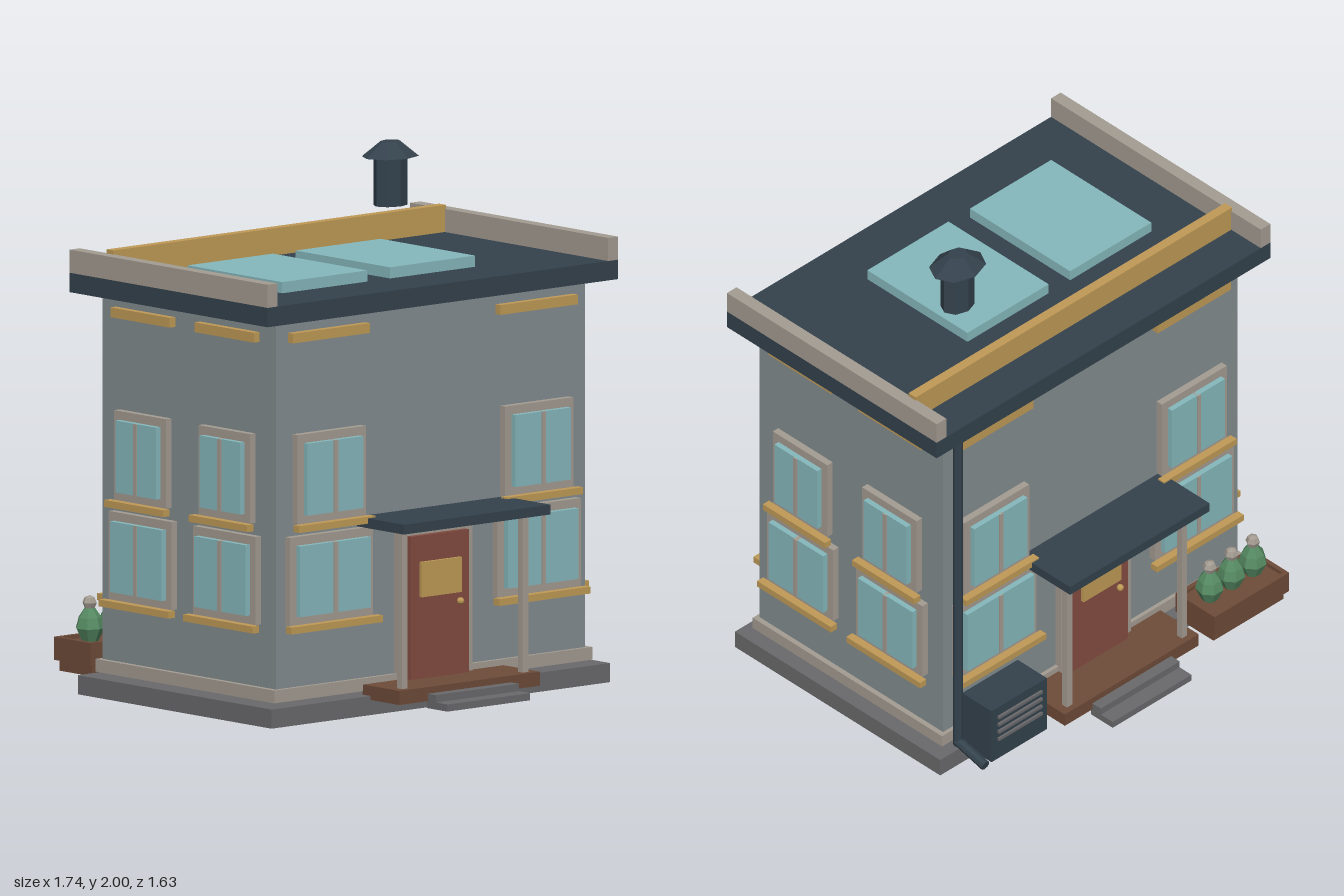
import * as THREE from 'three';

const mat = (name, color) => {
  const m = new THREE.MeshStandardMaterial({ color, flatShading: true });
  m.name = name;
  return m;
};

export function createModel() {
  const M = {
    wall: mat('wall grey', 0x838d90),
    roof: mat('dark slate', 0x34424d),
    glass: mat('glass teal', 0x86b9bd),
    gold: mat('ochre', 0xc09a56),
    trim: mat('trim stone', 0xa49c92),
    door: mat('door red', 0x844c41),
    wood: mat('wood brown', 0x6e4b38),
    stone: mat('stone grey', 0x6a6a6c),
    leaf: mat('leaf green', 0x558a62),
  };
  const house = new THREE.Group();
  house.name = 'house';

  const add = (parent, name, geo, material) => {
    const mesh = new THREE.Mesh(geo, material);
    mesh.name = name;
    parent.add(mesh);
    return mesh;
  };
  // Box given by its limits on each axis
  const box = (parent, name, material, [x0, x1], [y0, y1], [z0, z1]) => {
    const mesh = add(parent, name, new THREE.BoxGeometry(x1 - x0, y1 - y0, z1 - z0), material);
    mesh.position.set((x0 + x1) / 2, (y0 + y1) / 2, (z0 + z1) / 2);
    return mesh;
  };
  const group = (name, parent = house) => {
    const g = new THREE.Group();
    g.name = name;
    parent.add(g);
    return g;
  };
  const mid = (c, half) => [c - half, c + half];

  // Main body
  box(house, 'foundation', M.stone, [-0.838, 0.838], [0, 0.072], [-0.545, 0.545]);
  box(house, 'plinth', M.trim, [-0.787, 0.787], [0.085, 0.133], [-0.503, 0.503]);
  box(house, 'walls', M.wall, [-0.766, 0.766], [0.085, 1.52], [-0.487, 0.487]);

  // Roof
  box(house, 'roofSlab', M.roof, [-0.868, 0.868], [1.515, 1.588], [-0.557, 0.557]);
  for (const s of [-1, 1]) {
    box(house, 'parapet', M.trim, mid(s * 0.843, 0.025), [1.588, 1.675], [-0.557, 0.557]);
  }
  box(house, 'roofRail', M.gold, [-0.823, 0.823], [1.588, 1.69], [-0.4, -0.362]);
  for (const x of [-0.387, 0.147]) {
    box(house, 'skylight', M.glass, mid(x, 0.211), [1.588, 1.63], [-0.2, 0.332]);
  }

  // Chimney with a conical cap
  const chimney = group('chimney');
  chimney.position.set(0.38, 0, -0.17);
  chimney.scale.z = 0.81;
  add(chimney, 'chimneyPipe', new THREE.CylinderGeometry(0.07, 0.07, 0.185, 8), M.roof).position.y = 1.852;
  add(chimney, 'chimneyCap', new THREE.CylinderGeometry(0.04, 0.117, 0.057, 8), M.roof).position.y = 1.9715;

  // Window facing +z: half width of the frame, vertical limits
  const addWindow = (parent, x, half, y0, y1) => {
    const w = group('window', parent);
    w.position.x = x;
    box(w, 'windowFrame', M.trim, [-half, half], [y0, y1], [0, 0.028]);
    box(w, 'windowGlass', M.glass, mid(0, half - 0.031), [y0 + 0.033, y1 - 0.033], [0.022, 0.05]);
    box(w, 'mullion', M.trim, [-0.009, 0.009], [y0 + 0.033, y1 - 0.033], [0.022, 0.055]);
    box(w, 'windowSill', M.gold, mid(0, half + 0.02), [y0 - 0.026, y0], [0.028, 0.06]);
  };

  // Windows and trim on one side of the house
  const facade = (name, angle, depth, x, upper, lower) => {
    const turn = group(name);
    turn.rotation.y = angle;
    const f = group(name + 'Details', turn);
    f.position.z = depth;
    for (const s of [-1, 1]) {
      addWindow(f, s * x, upper, 0.748, 1.085);
      addWindow(f, s * x, lower, 0.37, 0.702);
      box(f, 'trimStrip', M.gold, mid(s * x, upper + 0.022), [1.432, 1.469], [0, 0.028]);
    }
    return turn;
  };

  // Porch with canopy, posts, deck, steps and door, facing +z
  const addPorch = (parent) => {
    const p = group('porch', parent);
    box(p, 'canopy', M.roof, [-0.363, 0.363], [0.705, 0.742], [0.487, 0.75]);
    for (const s of [-1, 1]) {
      box(p, 'porchPost', M.trim, mid(s * 0.299, 0.014), [0.11, 0.705], [0.655, 0.682]);
    }
    box(p, 'deck', M.wood, [-0.348, 0.348], [0.057, 0.11], [0.5, 0.707]);
    box(p, 'upperStep', M.stone, [-0.205, 0.205], [0.057, 0.085], [0.69, 0.752]);
    box(p, 'lowerStep', M.stone, [-0.205, 0.205], [0.03, 0.057], [0.7, 0.815]);
    box(p, 'doorFrame', M.trim, [-0.181, 0.181], [0.11, 0.69], [0.487, 0.517]);
    box(p, 'door', M.door, [-0.143, 0.143], [0.11, 0.648], [0.51, 0.54]);
    box(p, 'doorPanel', M.gold, [-0.1, 0.097], [0.418, 0.55], [0.535, 0.554]);
    const knob = add(p, 'doorKnob', new THREE.SphereGeometry(0.014, 8, 6), M.gold);
    knob.position.set(0.09, 0.385, 0.554);
  };

  addPorch(facade('front', 0, 0.487, 0.514, 0.169, 0.206));
  addPorch(facade('back', Math.PI, 0.487, 0.514, 0.169, 0.206));
  facade('leftSide', Math.PI / 2, 0.773, 0.237, 0.145, 0.176);
  facade('rightSide', -Math.PI / 2, 0.773, 0.237, 0.145, 0.176);

  // Downspout at the back left corner, with a slanted outlet
  const pipe = (name, r, a, b) => {
    const from = new THREE.Vector3(...a);
    const dir = new THREE.Vector3(...b).sub(from);
    const mesh = add(house, name, new THREE.CylinderGeometry(r, r, dir.length(), 8), M.roof);
    mesh.position.copy(from).addScaledVector(dir, 0.5);
    mesh.quaternion.setFromUnitVectors(new THREE.Vector3(0, 1, 0), dir.normalize());
  };
  pipe('downspout', 0.018, [0.74, 0.09, -0.54], [0.74, 1.52, -0.54]);
  pipe('downspoutOutlet', 0.02, [0.74, 0.108, -0.535], [0.74, 0.07, -0.685]);

  // Outdoor air unit with grille slats
  const unit = group('airUnit');
  box(unit, 'airUnitBody', M.roof, [0.43, 0.718], [0.08, 0.32], [-0.695, -0.54]);
  for (let i = 0; i < 4; i++) {
    const y = 0.275 - i * 0.034;
    box(unit, 'grilleSlat', M.stone, [0.46, 0.687], [y - 0.006, y + 0.006], [-0.704, -0.694]);
  }

  // Planter with a rim and three bushes
  const planter = group('planter');
  box(planter, 'planterBox', M.wood, [-0.768, -0.405], [0.06, 0.172], [-0.728, -0.545]);
  for (const z of [-0.737, -0.548]) {
    box(planter, 'planterRim', M.wood, [-0.78, -0.393], [0.1, 0.187], mid(z, 0.009));
  }
  for (const x of [-0.771, -0.402]) {
    box(planter, 'planterRim', M.wood, mid(x, 0.009), [0.1, 0.187], [-0.728, -0.557]);
  }
  const bushProfile = [[0, 0.16], [0.03, 0.17], [0.055, 0.225], [0.044, 0.265], [0.02, 0.3], [0, 0.305]]
    .map(([r, y]) => new THREE.Vector2(r, y));
  for (const x of [-0.698, -0.587, -0.474]) {
    const bush = group('bush', planter);
    bush.position.set(x, 0, -0.637);
    add(bush, 'bushLeaves', new THREE.LatheGeometry(bushProfile, 7), M.leaf);
    const bloom = add(bush, 'bloom', new THREE.SphereGeometry(0.028, 6, 4), M.trim);
    bloom.position.y = 0.32;
  }

  return house;
}
